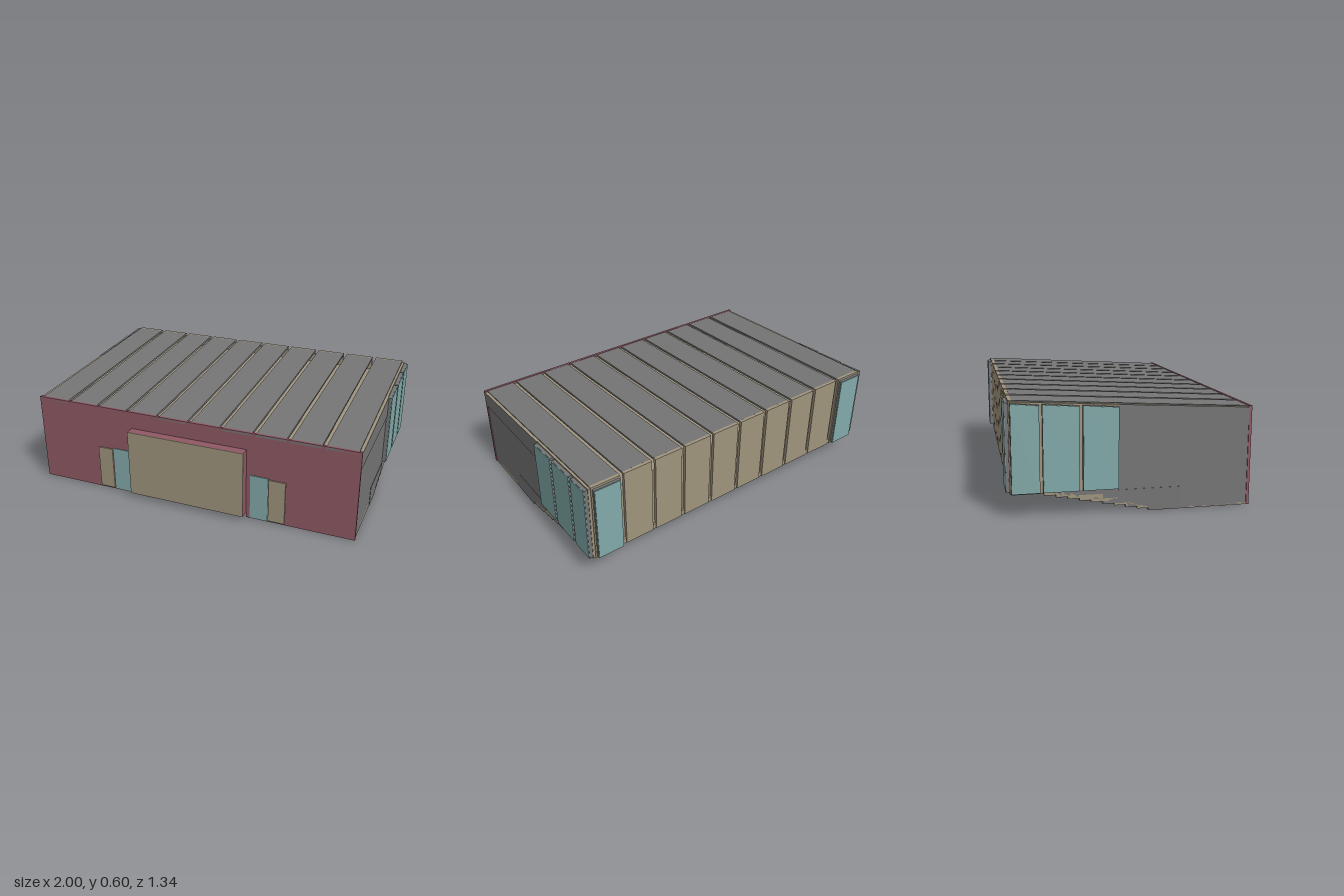
import * as THREE from 'three';

const mat = (name, color) => {
  const m = new THREE.MeshStandardMaterial({ color });
  m.name = name;
  return m;
};

export function createModel() {
  const grey = mat('grey cladding', 0x757575);
  const beige = mat('beige panel', 0x9f947d);
  const red = mat('red wall', 0x8f5864);
  const teal = mat('teal glass', 0x82a9a9);

  const model = new THREE.Group();
  model.name = 'lectureHall';

  const add = (name, geometry, material) => {
    const mesh = new THREE.Mesh(geometry, material);
    mesh.name = name;
    model.add(mesh);
    return mesh;
  };

  // Box given by its limits on each axis
  const box = (name, material, [x0, x1], [y0, y1], [z0, z1]) => {
    const g = new THREE.BoxGeometry(x1 - x0, y1 - y0, z1 - z0);
    g.translate((x0 + x1) / 2, (y0 + y1) / 2, (z0 + z1) / 2);
    return add(name, g, material);
  };

  // Profile of [z, y] points, extruded along x; material may be [caps, edges]
  const prism = (name, material, points, x0, x1) => {
    const shape = new THREE.Shape(points.map(([z, y]) => new THREE.Vector2(z, y)));
    const g = new THREE.ExtrudeGeometry(shape, { depth: x1 - x0, bevelEnabled: false });
    g.rotateY(-Math.PI / 2);
    g.translate(x1, 0, 0);
    return add(name, g, material);
  };

  // Same profile on both sides of the hall
  const sidePair = (name, material, points, x0, x1) => {
    prism(name + 'Left', material, points, x0, x1);
    prism(name + 'Right', material, points, -x1, -x0);
  };

  const W = 0.975;
  const roofY = z => 0.53 + (0.61 - z) * 0.0548;
  const stepH = 0.0243;
  const steps = 5;

  // Ground floor with a notch under the entrance
  box('floorMiddle', beige, [-W, W], [0, 0.025], [0.06, 0.41]);
  box('floorRight', beige, [-W, -0.36], [0, 0.025], [0.41, 0.605]);
  box('floorLeft', beige, [0.35, W], [0, 0.025], [0.41, 0.605]);

  // Stepped seating floor: beige strip, then teal soffit on every step
  for (let i = 0; i < steps; i++) {
    const z = 0.06 - 0.12 * i;
    const y = stepH * (i + 1);
    const end = i === steps - 1 ? -0.645 : z - 0.12;
    box('tread', beige, [-W, W], [y + 0.004, y + 0.03], [end, z]);
    box('soffit', teal, [-W + 0.003, W - 0.003], [y, y + 0.005], [end, z]);
    box('stepStrip', beige, [-W, W], [y - 0.011, y + 0.005], [z - 0.06, z]);
    // Aisle half steps
    for (const x of [-0.47, 0.47]) {
      box('aisleStep', [beige, beige, beige, teal, beige, beige],
        [x - 0.055, x + 0.055], [y - 0.009, y + 0.005], [z - 0.1, z - 0.055]);
    }
  }

  // Side walls following the steps, with a slightly proud upper band
  const lower = [[0.605, 0], [0.605, 0.43], [-0.1, 0.43], [-0.1, 0.13], [-0.645, 0.13], [-0.645, stepH * steps]];
  for (let i = steps - 1; i >= 0; i--) {
    const z = 0.06 - 0.12 * i;
    lower.push([z, stepH * (i + 1)], [z, stepH * i]);
  }
  sidePair('lowerSideWall', grey, lower, 0.957, W);
  sidePair('upperSideWall', [grey, beige],
    [[0.605, 0.43], [0.605, 0.525], [-0.1, roofY(-0.1) - 0.006], [-0.1, 0.43]], 0.957, 0.979);
  sidePair('rearSideWall', beige,
    [[-0.1, 0.13], [-0.1, roofY(-0.1) - 0.006], [-0.645, roofY(-0.645) - 0.006], [-0.645, 0.13]], 0.957, W);
  sidePair('lowSidePanel', grey, [[0.23, 0.002], [0.23, 0.12], [-0.1, 0.12], [-0.1, 0.06], [0.05, 0.03], [0.065, 0.002]],
    0.96, W + 0.002);

  // Side windows: grey frames with glazed faces
  for (const [z0, z1] of [[-0.1, -0.283], [-0.3, -0.485], [-0.5, -0.642]]) {
    const pane = d => [[z0 - d, 0.13 + d], [z0 - d, roofY(z0) - 0.016 - d],
      [z1 + d, roofY(z1) - 0.012 - d], [z1 + d, 0.13 + d]];
    sidePair('sideWindowFrame', grey, pane(0), W, 0.995);
    sidePair('sideWindowGlass', teal, pane(0.002), 0.994, 0.999);
  }

  // Inner ceiling and rear lining seen in the slots between panels
  box('ceiling', beige, [-0.958, 0.958], [0.505, 0.52], [-0.625, 0.6]);
  box('rearLining', beige, [-0.958, 0.958], [0.13, 0.52], [-0.632, -0.622]);

  // Ten roof panels with matching rear wall panels
  for (let i = 0; i < 10; i++) {
    const x = (i - 4.5) * 0.1945;
    const x0 = x - 0.086;
    const x1 = x + 0.086;
    prism('roofPanel', grey,
      [[0.61, 0.53], [-0.632, roofY(-0.632)], [-0.632, roofY(-0.632) - 0.012], [0.61, 0.518]], x0, x1);
    box('rearPanel', beige, [x0, x1], [0.122, 0.598], [-0.65, -0.632]);
    if (i === 0 || i === 9) {
      box('rearWindowFrame', grey, [x0 + 0.008, x1 - 0.008], [0.13, 0.585], [-0.666, -0.65]);
      box('rearWindowGlass', teal, [x0 + 0.01, x1 - 0.01], [0.132, 0.583], [-0.67, -0.665]);
    }
  }

  // Front wall, open below the entrance
  box('frontWallRight', red, [-0.979, -0.36], [0, 0.533], [0.595, 0.61]);
  box('frontWallLeft', red, [0.35, 0.979], [0, 0.533], [0.595, 0.61]);
  box('frontWallTop', red, [-0.36, 0.35], [0.42, 0.533], [0.595, 0.61]);

  // Projecting entrance block with beige face and teal soffit
  box('entranceBlock', red, [-0.36, 0.35], [0.03, 0.43], [0.41, 0.661]);
  box('entranceFace', beige, [-0.36, 0.35], [0.03, 0.43], [0.66, 0.665]);
  box('entranceSoffit', teal, [-0.355, 0.345], [0.026, 0.031], [0.41, 0.658]);

  // Doors: a glazed leaf beside a solid one on each side
  box('glassDoorRight', teal, [-0.49, -0.385], [0.004, 0.277], [0.609, 0.615]);
  box('solidDoorRight', beige, [-0.59, -0.497], [0.01, 0.27], [0.609, 0.618]);
  box('glassDoorLeft', teal, [0.375, 0.48], [0.004, 0.277], [0.609, 0.615]);
  box('solidDoorLeft', beige, [0.484, 0.58], [0.01, 0.27], [0.609, 0.618]);

  return model;
}
